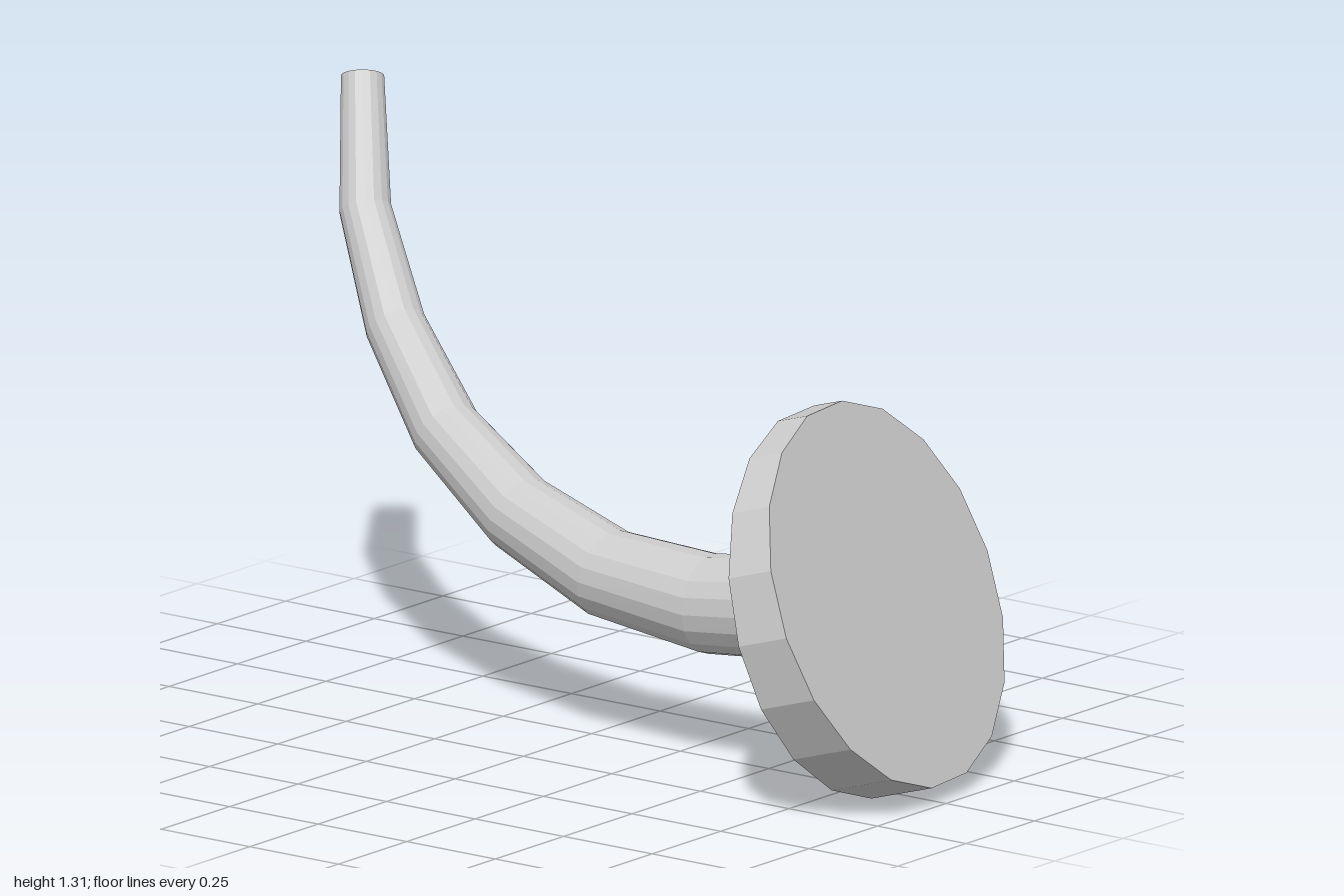
import * as THREE from 'three';

const SIDES = 18;

// Cross-sections from the plate's front to the horn's tip: centre, radius, optional direction
const SECTIONS = [
  { c: [0.007, 0.465, 0.828], r: 0.446, d: [-0.12, -0.365, -0.92] }, // plate front
  { c: [-0.007, 0.432, 0.714], r: 0.444, d: [-0.1, -0.277, -0.96] }, // plate back rim
  { c: [-0.022, 0.412, 0.665], r: 0.122, d: [-0.06, -0.235, -0.97] }, // horn root
  { c: [-0.032, 0.377, 0.365], r: 0.113 },
  { c: [-0.023, 0.398, 0.065], r: 0.102 },
  { c: [0.016, 0.483, -0.215], r: 0.091 },
  { c: [0.082, 0.62, -0.475], r: 0.08 },
  { c: [0.172, 0.808, -0.687], r: 0.069 },
  { c: [0.273, 1.03, -0.85], r: 0.059 },
  { c: [0.395, 1.295, -0.952], r: 0.049, d: [0.42, 0.85, -0.32] }, // tip
];

// Rings of points, carried along the path without twist
function makeRings() {
  const centres = SECTIONS.map((s) => new THREE.Vector3(...s.c));
  let previous = null;
  const up = new THREE.Vector3(0, 1, 0);
  return SECTIONS.map((s, i) => {
    const dir = new THREE.Vector3();
    if (s.d) {
      dir.set(...s.d).normalize();
    } else {
      const before = centres[i].clone().sub(centres[i - 1]).normalize();
      const after = centres[i + 1].clone().sub(centres[i]).normalize();
      dir.addVectors(before, after).normalize();
    }
    if (previous) up.applyQuaternion(new THREE.Quaternion().setFromUnitVectors(previous, dir));
    up.addScaledVector(dir, -up.dot(dir)).normalize();
    previous = dir;
    const side = new THREE.Vector3().crossVectors(dir, up);
    const points = [];
    for (let j = 0; j < SIDES; j++) {
      const a = ((j + 0.5) / SIDES) * Math.PI * 2;
      points.push(centres[i].clone()
        .addScaledVector(up, s.r * Math.cos(a))
        .addScaledVector(side, s.r * Math.sin(a)));
    }
    return { centre: centres[i], points };
  });
}

// Skin a run of rings, with a flat cap at the start or the end
function loft(rings, capStart, capEnd) {
  const pos = [];
  const tri = (...corners) => corners.forEach((p) => pos.push(p.x, p.y, p.z));
  const first = rings[0];
  const last = rings[rings.length - 1];
  for (let j = 0; j < SIDES; j++) {
    const k = (j + 1) % SIDES;
    for (let i = 0; i < rings.length - 1; i++) {
      const a = rings[i].points;
      const b = rings[i + 1].points;
      tri(a[j], a[k], b[j]);
      tri(a[k], b[k], b[j]);
    }
    if (capStart) tri(first.centre, first.points[k], first.points[j]);
    if (capEnd) tri(last.centre, last.points[j], last.points[k]);
  }
  const geometry = new THREE.BufferGeometry();
  geometry.setAttribute('position', new THREE.Float32BufferAttribute(pos, 3));
  geometry.computeVertexNormals();
  return geometry;
}

export function createModel() {
  const group = new THREE.Group();
  group.name = 'hornOnPlate';
  const material = new THREE.MeshStandardMaterial({ color: 0xcccccc, flatShading: true });
  const rings = makeRings();

  // Tilted disc with a shallow cone at its back
  const plate = new THREE.Mesh(loft(rings.slice(0, 3), true, false), material);
  plate.name = 'mountingPlate';

  // Tapered horn curving back, up and to the left
  const horn = new THREE.Mesh(loft(rings.slice(2), false, true), material);
  horn.name = 'curvedHorn';

  group.add(plate, horn);
  return group;
}
